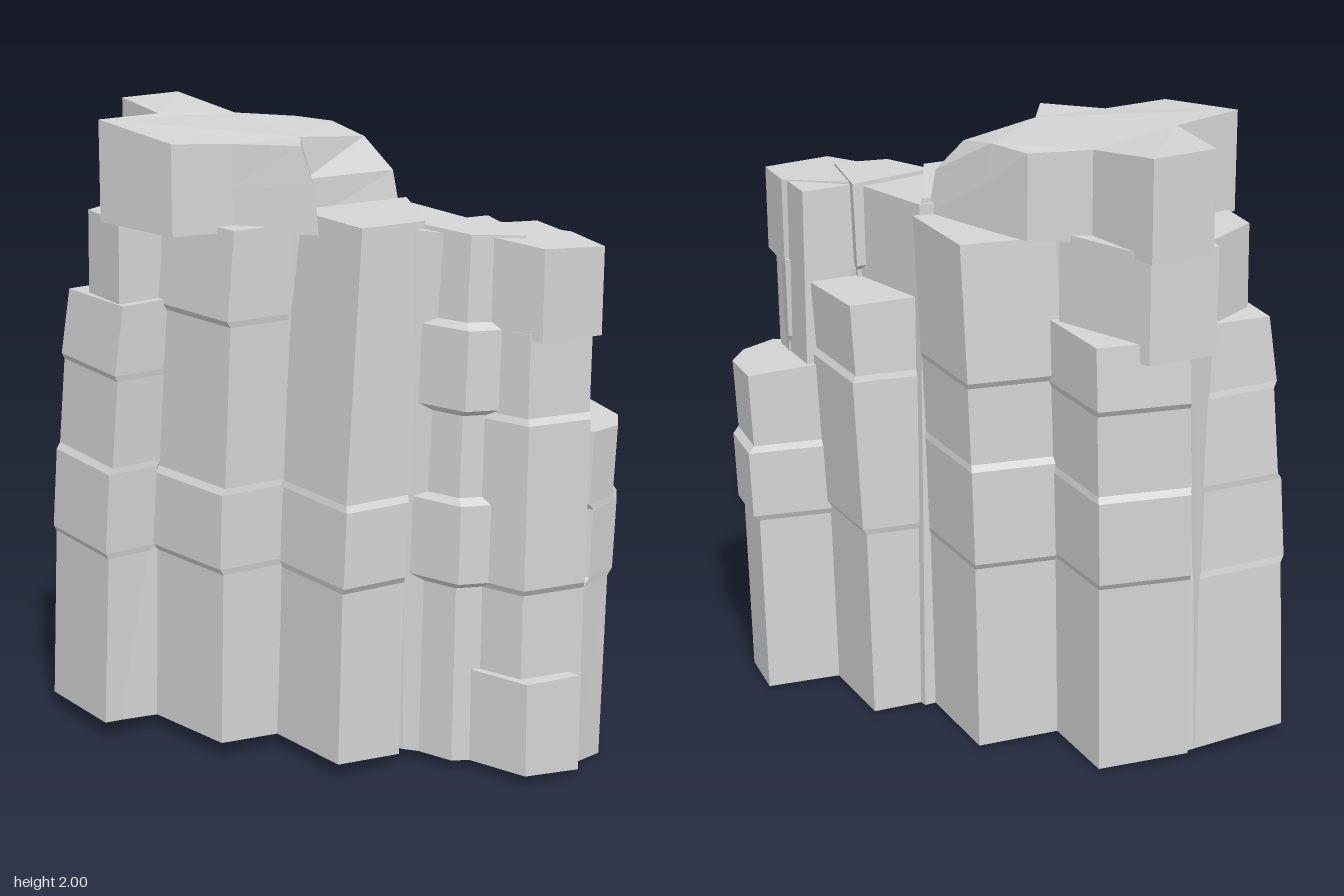
import * as THREE from 'three';

const stone = new THREE.MeshStandardMaterial({ color: 0xd4d4d4, flatShading: true });
stone.name = 'pale grey stone';

// Join stacked rings of [x, y, z] points and cap both ends.
function loft(rings) {
  const n = rings[0].length;
  const idx = [];
  for (let r = 0; r < rings.length - 1; r++) {
    for (let i = 0; i < n; i++) {
      const a = r * n + i, b = r * n + (i + 1) % n;
      idx.push(a, a + n, b, b, a + n, b + n);
    }
  }
  const cap = (ring) => THREE.ShapeUtils.triangulateShape(ring.map(p => new THREE.Vector2(p[0], p[2])), []);
  const last = (rings.length - 1) * n;
  for (const [a, b, c] of cap(rings[0])) idx.push(a, b, c);
  for (const [a, b, c] of cap(rings[rings.length - 1])) idx.push(last + a, last + c, last + b);
  const indexed = new THREE.BufferGeometry();
  indexed.setAttribute('position', new THREE.Float32BufferAttribute(rings.flat(2), 3));
  indexed.setIndex(idx);
  const geometry = indexed.toNonIndexed();
  geometry.computeVertexNormals();
  return geometry;
}

// Turn every footprint the same way round so that faces point outwards.
function ordered(foot) {
  const area = THREE.ShapeUtils.area(foot.map(([x, z]) => new THREE.Vector2(x, z)));
  return area < 0 ? [...foot].reverse() : foot;
}

// The underside dips towards the back.
const groundY = (x, z) => Math.max(0, 0.025 + 0.06 * z - 0.02 * x);

// A column that bends to leanX, leanZ at its top and steps in or out at each crack height.
function column(foot, top, { base = 0, cracks = [], leanX = 0, leanZ = 0, slope = 0, step = 0.012 } = {}) {
  const pts = ordered(foot);
  const midX = pts.reduce((s, p) => s + p[0], 0) / pts.length;
  const midZ = pts.reduce((s, p) => s + p[1], 0) / pts.length;
  const levels = [[base, 0]];
  cracks.forEach((y, i) => {
    const out = i % 2;
    levels.push([y, out * step], [y + 0.02, (1 - out) * step]);
  });
  levels.push([top, 0]);
  const lowY = (x, z) => (base === 0 ? groundY(x, z) : base);
  return loft(levels.map(([y, out], k) => pts.map(([x, z]) => {
    const bend = (y / top) ** 1.6;
    return [
      x + leanX * bend + out * Math.sign(midX) * 0.5,
      k === 0 ? lowY(x, z) : y + (k === levels.length - 1 ? slope * (x - midX) : 0),
      z + leanZ * bend + out * Math.sign(midZ),
    ];
  })));
}

// Upper crag: its right shoulder spreads outwards to the lower plateau.
function cragGeometry() {
  const outline = ordered([
    [-.75, -.2], [-.62, -.37], [-.38, -.23], [-.2, -.3], [-.06, -.24], [.07, -.15],
    [-.07, .08], [-.02, .24], [-.23, .26], [-.38, .39], [-.67, .23], [-.55, .02],
  ]);
  const spread = (y, amount) => outline.map(([x, z]) => [x + Math.max(0, x + .1) * amount, y, z]);
  const topY = (x) => 1.95 + .05 * THREE.MathUtils.clamp((-x - .3) / .3, 0, 1) - .4 * Math.max(0, x);
  return loft([
    spread(1.68, .7),
    spread(1.82, .55),
    outline.map(([x, z]) => [x, topY(x), z]),
  ]);
}

export function createModel() {
  const model = new THREE.Group();
  model.name = 'columnarCliff';
  const add = (name, geometry) => {
    const mesh = new THREE.Mesh(geometry, stone);
    mesh.name = name;
    model.add(mesh);
  };

  // Front row, from -x to +x
  add('leftEndColumn', column([[-.93, .07], [-.66, .31], [-.55, .17], [-.55, -.05], [-.7, -.19]], 1.43,
    { cracks: [.61, .89, 1.19], leanX: .08, leanZ: -.02, slope: .04 }));
  add('leftInnerColumn', column([[-.78, .1], [-.62, .26], [-.52, .15], [-.45, -.12], [-.72, -.17]], 1.69,
    { leanX: .02 }));
  add('frontLeftColumn', column([[-.56, .15], [-.25, .36], [-.11, .2], [-.3, -.1]], 1.7,
    { cracks: [.61, .87, 1.4], leanX: .05, leanZ: -.02 }));
  add('frontMiddleColumn', column([[-.12, .2], [.15, .42], [.3, .25], [.15, -.1]], 1.73,
    { cracks: [.6, .86], leanX: .05, leanZ: -.08 }));
  add('frontNarrowColumn', column([[.28, .17], [.47, .25], [.62, .17], [.45, -.05]], 1.71,
    { cracks: [.6, .87, 1.15, 1.42], leanX: .04, leanZ: -.01, slope: -.06, step: .025 }));
  add('frontRightColumn', column([[.45, .17], [.69, .27], [.85, .13], [.74, -.02], [.5, -.02]], 1.42,
    { cracks: [.6, 1.14], leanX: .01, leanZ: -.01 }));
  add('frontRightBlock', column([[.46, .17], [.73, .27], [.88, .12], [.75, -.02], [.5, -.02]], 1.69,
    { base: 1.4, leanX: .01, slope: -.08 }));
  add('frontRightFoot', column([[.47, .2], [.72, .31], [.86, .18], [.6, .05]], .33));

  // Back row, from +x to -x
  add('rightEndColumn', column([[.84, .12], [.89, 0], [.87, -.11], [.74, -.25], [.54, -.09], [.6, .1]], 1.1,
    { cracks: [.6, .84], leanX: .03, leanZ: -.02, slope: -.1, step: .02 }));
  add('backRightColumn', column([[.13, -.1], [.34, -.28], [.57, -.09], [.4, .1]], 1.4,
    { cracks: [.63, 1.15], leanX: .045, leanZ: -.03, slope: -.05 }));
  add('backMiddleColumn', column([[-.3, -.18], [-.07, -.37], [.18, -.16], [-.05, .1]], 1.68,
    { cracks: [.62, .95, 1.22], leanX: .04, leanZ: -.04 }));
  add('backLeftColumn', column([[-.71, -.2], [-.48, -.38], [-.24, -.18], [-.48, .1]], 1.42,
    { cracks: [.63, .92, 1.2], leanX: .01, leanZ: -.04 }));
  add('backLeftUpperColumn', column([[-.76, -.18], [-.61, -.35], [-.28, -.24], [-.5, .1]], 1.7,
    { base: 1.36 }));

  // Inner body that carries the lower plateau and the crag
  add('plateauCore', column([[-.1, .1], [.2, -.19], [.5, -.01], [.63, -.13], [.82, .06], [.7, .2], [.3, .2]], 1.7,
    { slope: -.06 }));
  add('leftCore', column([[-.62, -.12], [-.58, .14], [0, .14], [.05, -.12]], 1.7));
  add('upperCrag', cragGeometry());

  return model;
}
